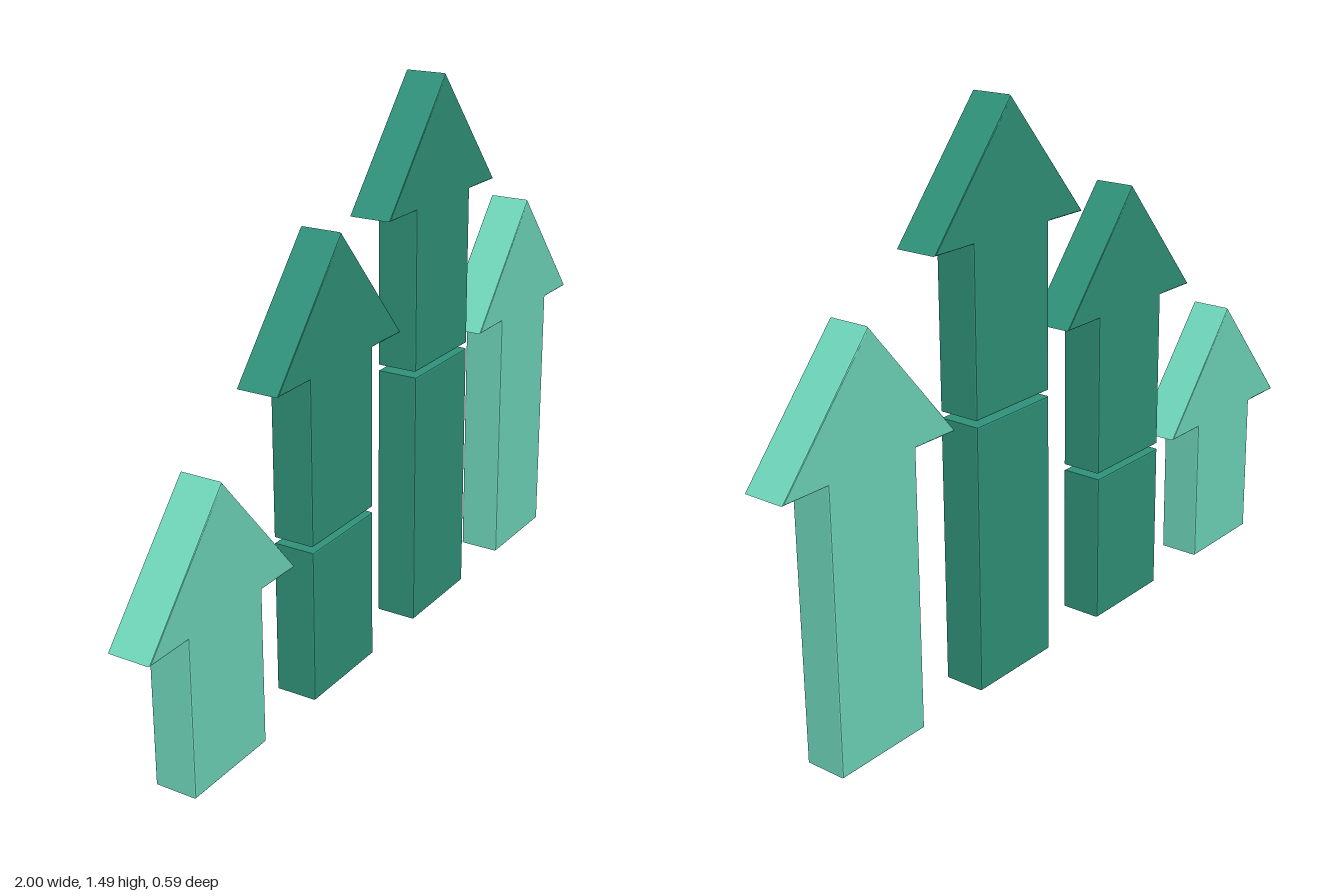
import * as THREE from 'three';

const DEPTH = 0.115, BEVEL = 0.004;
const STEM = 0.139, HEAD = 0.276, HEAD_HEIGHT = 0.325; // half widths and head height

// Extrudes an outline to a plate centred on z = 0 with finely bevelled edges
function plate(points, material, name) {
  const shape = new THREE.Shape(points.map(([x, y]) => new THREE.Vector2(x, y)));
  const geometry = new THREE.ExtrudeGeometry(shape, {
    depth: DEPTH - 2 * BEVEL, bevelThickness: BEVEL, bevelSize: BEVEL,
    bevelOffset: -BEVEL, bevelSegments: 2,
  });
  geometry.translate(0, 0, BEVEL - DEPTH / 2);
  const mesh = new THREE.Mesh(geometry, material);
  mesh.name = name;
  return mesh;
}

// Upward arrow: stem from bottom to neck, then a triangular head
function arrow(bottom, neck, material) {
  return plate([
    [-STEM, bottom], [STEM, bottom], [STEM, neck], [HEAD, neck],
    [0, neck + HEAD_HEIGHT], [-HEAD, neck], [-STEM, neck],
  ], material, 'arrow');
}

// Separate block below a raised arrow
function block(top, material) {
  return plate([[-STEM, 0], [STEM, 0], [STEM, top], [-STEM, top]], material, 'baseBlock');
}

export function createModel() {
  const mint = new THREE.MeshStandardMaterial({ color: 0x6fd8bc });
  mint.name = 'mint';
  const green = new THREE.MeshStandardMaterial({ color: 0x30937b });
  green.name = 'deepGreen';

  const columns = [
    { name: 'shortArrow', x: -0.741, neck: 0.41, material: mint },
    { name: 'middleArrow', x: -0.247, neck: 0.86, split: 0.41, material: green },
    { name: 'tallArrow', x: 0.247, neck: 1.16, split: 0.71, material: green },
    { name: 'endArrow', x: 0.741, neck: 0.728, material: mint },
  ];

  const model = new THREE.Group();
  model.name = 'arrowChart';
  const row = new THREE.Group();
  row.name = 'arrowRow';
  for (const { name, x, neck, split, material } of columns) {
    const column = new THREE.Group();
    column.name = name;
    column.position.x = x;
    column.add(arrow(split ? split + 0.017 : 0, neck, material));
    if (split) column.add(block(split, material));
    row.add(column);
  }
  // The whole row stands at a slight angle
  row.rotation.y = THREE.MathUtils.degToRad(13.7);
  model.add(row);
  return model;
}
